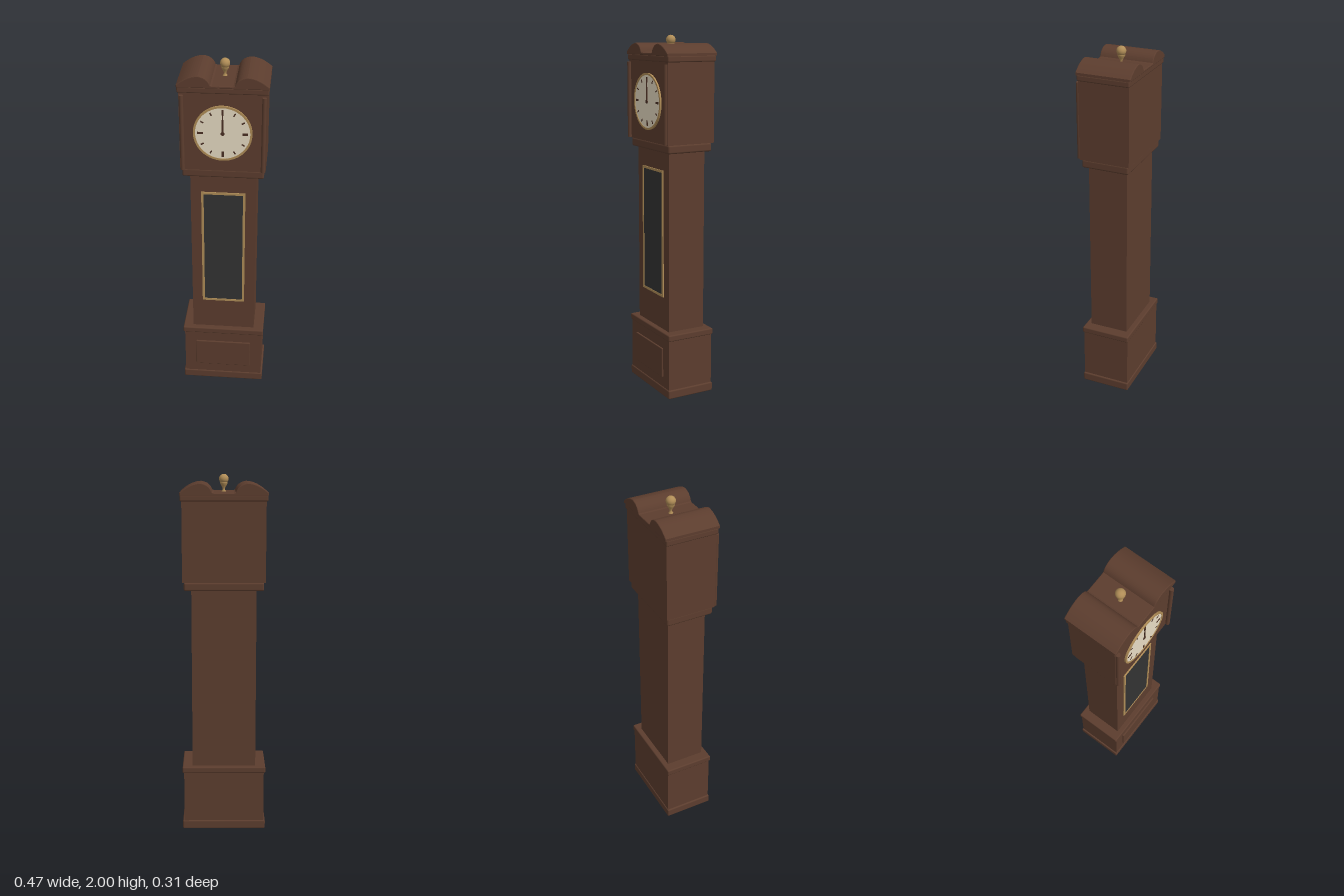
import * as THREE from 'three';
import { RoundedBoxGeometry } from 'three/addons/geometries/RoundedBoxGeometry.js';

const material = (name, color) => {
  const m = new THREE.MeshStandardMaterial({ color });
  m.name = name;
  return m;
};

export function createModel() {
  const clock = new THREE.Group();
  clock.name = 'longcaseClock';
  const wood = material('walnut wood', 0x5c3d2e);
  const darkWood = material('dark markings', 0x4a3024);
  const brass = material('brass', 0xb08d57);
  const cream = material('cream dial', 0xe8dcc4);
  const glass = material('dark glass', 0x333333);
  const cz = -0.005; // depth centre of the case

  function add(name, geometry, mat, x = 0, y = 0, z = 0, parent = clock) {
    const mesh = new THREE.Mesh(geometry, mat);
    mesh.name = name;
    mesh.position.set(x, y, z);
    parent.add(mesh);
    return mesh;
  }

  // Box case section spanning y0..y1, with optional softened edges
  function section(name, halfW, halfD, y0, y1, radius = 0) {
    const size = [halfW * 2, y1 - y0, halfD * 2];
    const geometry = radius
      ? new RoundedBoxGeometry(...size, 3, radius)
      : new THREE.BoxGeometry(...size);
    add(name, geometry, wood, 0, (y0 + y1) / 2, cz);
  }

  // Case, from the floor up
  section('plinth', 0.235, 0.142, 0, 0.05, 0.007);
  section('base', 0.226, 0.137, 0.04, 0.345);
  section('baseMoulding', 0.235, 0.142, 0.338, 0.374, 0.007);
  section('trunk', 0.178, 0.111, 0.36, 1.39);
  section('hoodMoulding', 0.218, 0.134, 1.38, 1.427, 0.01);
  section('hood', 0.226, 0.141, 1.427, 1.865);
  section('cornice', 0.235, 0.146, 1.862, 1.895, 0.007);

  // Raised panel on the base
  add('basePanel', new RoundedBoxGeometry(0.32, 0.171, 0.02, 2, 0.004), wood, 0, 0.193, 0.131);

  // Glazed trunk door with a brass frame
  const rectangle = (Type, w, h) => new Type([
    new THREE.Vector2(-w, -h), new THREE.Vector2(w, -h),
    new THREE.Vector2(w, h), new THREE.Vector2(-w, h),
  ]);
  const frame = rectangle(THREE.Shape, 0.12, 0.358);
  frame.holes.push(rectangle(THREE.Path, 0.107, 0.345));
  add('doorFrame', new THREE.ExtrudeGeometry(frame, { depth: 0.006, bevelEnabled: false }),
    brass, 0, 0.92, 0.106);
  add('doorGlass', new THREE.BoxGeometry(0.216, 0.692, 0.004), glass, 0, 0.92, 0.1075);

  // Slim columns at the hood's front corners
  for (const side of [-1, 1]) {
    add(side > 0 ? 'leftColumn' : 'rightColumn',
      new THREE.CylinderGeometry(0.0115, 0.0115, 0.42, 20), wood, side * 0.212, 1.641, 0.143);
  }

  // Dial
  const dial = new THREE.Group();
  dial.name = 'dial';
  dial.position.set(0, 1.645, 0.136);
  clock.add(dial);
  add('dialFace', new THREE.CylinderGeometry(0.145, 0.145, 0.006, 64).rotateX(Math.PI / 2),
    cream, 0, 0, 0.003, dial);
  const bezel = new THREE.Shape().absarc(0, 0, 0.154, 0, Math.PI * 2);
  bezel.holes.push(new THREE.Path().absarc(0, 0, 0.143, 0, Math.PI * 2, true));
  add('bezel', new THREE.ExtrudeGeometry(bezel, { depth: 0.009, bevelEnabled: false, curveSegments: 48 }),
    brass, 0, 0, 0, dial);
  // Hour marks, longer at the quarters
  for (let i = 0; i < 12; i++) {
    const quarter = i % 3 === 0;
    const length = quarter ? 0.03 : 0.018;
    const angle = i * Math.PI / 6;
    const r = 0.132 - length / 2;
    const mark = add('hourMark', new THREE.BoxGeometry(quarter ? 0.012 : 0.007, length, 0.002),
      darkWood, Math.sin(angle) * r, Math.cos(angle) * r, 0.007, dial);
    mark.rotation.z = -angle;
  }
  // Both hands point to twelve
  add('hourHand', new THREE.BoxGeometry(0.01, 0.08, 0.002), darkWood, 0, 0.038, 0.008, dial);
  add('minuteHand', new THREE.BoxGeometry(0.006, 0.125, 0.002), darkWood, 0, 0.062, 0.0095, dial);
  add('handHub', new THREE.CylinderGeometry(0.01, 0.01, 0.004, 24).rotateX(Math.PI / 2),
    darkWood, 0, 0, 0.009, dial);

  // Pediment: two humps either side of a flat valley
  const outline = new THREE.Shape();
  outline.moveTo(-0.232, 1.897);
  outline.lineTo(0.232, 1.897);
  outline.lineTo(0.232, 1.905);
  outline.bezierCurveTo(0.2, 1.932, 0.165, 1.952, 0.125, 1.953);
  outline.bezierCurveTo(0.09, 1.947, 0.075, 1.932, 0.066, 1.906);
  outline.lineTo(0.055, 1.902);
  outline.lineTo(-0.055, 1.902);
  outline.lineTo(-0.066, 1.906);
  outline.bezierCurveTo(-0.075, 1.932, -0.09, 1.947, -0.125, 1.953);
  outline.bezierCurveTo(-0.165, 1.952, -0.2, 1.932, -0.232, 1.905);
  outline.closePath();
  add('pediment', new THREE.ExtrudeGeometry(outline, {
    depth: 0.296, bevelSize: 0.004, bevelThickness: 0.004, bevelSegments: 2, curveSegments: 10,
  }), wood, 0, 0, -0.153);

  // Turned finial
  const profile = [
    [0, 1.895], [0.014, 1.9], [0.012, 1.908], [0.007, 1.915], [0.007, 1.925],
    [0.014, 1.938], [0.021, 1.95], [0.02, 1.956],
  ].map(([x, y]) => new THREE.Vector2(x, y));
  add('finialStem', new THREE.LatheGeometry(profile, 28), brass, 0, 0, cz);
  add('finialBall', new THREE.SphereGeometry(0.026, 28, 18), brass, 0, 1.974, cz);

  return clock;
}
